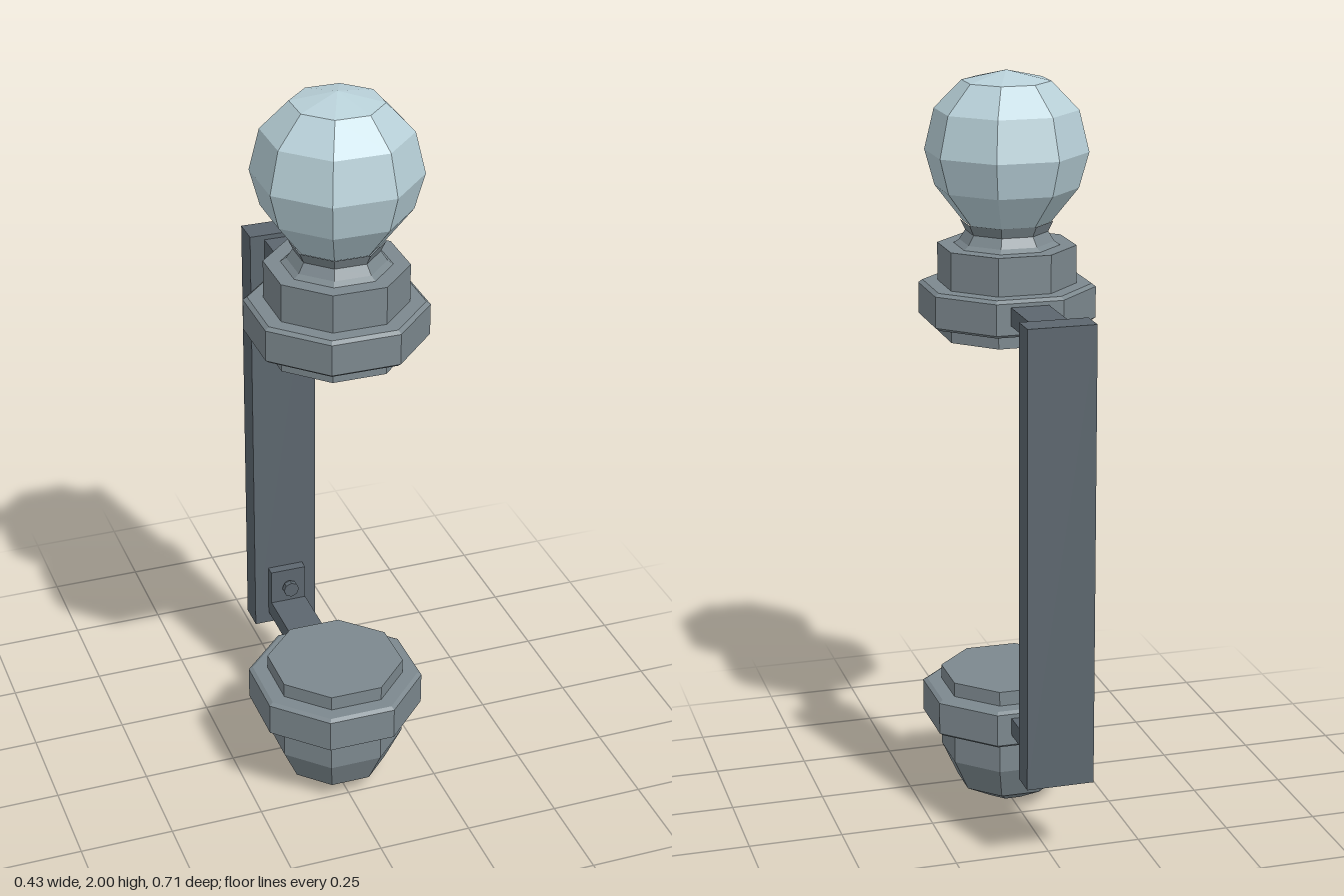
import * as THREE from 'three';

const mat = (name, color) => {
  const m = new THREE.MeshStandardMaterial({ color });
  m.name = name;
  m.flatShading = true;
  return m;
};

export function createModel() {
  const model = new THREE.Group();
  model.name = 'wallLamp';
  const glass = mat('paleBlueGlass', 0xb8d0d8);
  const metal = mat('greyMetal', 0x7c888e);
  const dark = mat('darkMetal', 0x5c666e);
  const axisZ = 0.137;

  // Eight-sided turned part; radii are measured to the flats, listed bottom to top
  const turned = (name, profile, material) => {
    const k = 1 / Math.cos(Math.PI / 8);
    const pts = profile.map(([r, y]) => new THREE.Vector2(r * k, y));
    const mesh = new THREE.Mesh(new THREE.LatheGeometry(pts, 8, Math.PI / 8), material);
    mesh.name = name;
    mesh.position.z = axisZ;
    model.add(mesh);
  };

  // Box given by half width and its y and z ranges
  const box = (name, hx, y0, y1, z0, z1, material) => {
    const mesh = new THREE.Mesh(new THREE.BoxGeometry(hx * 2, y1 - y0, z1 - z0), material);
    mesh.name = name;
    mesh.position.set(0, (y0 + y1) / 2, (z0 + z1) / 2);
    model.add(mesh);
  };

  // Globe and its holder
  turned('globe', [[0, 1.6], [0.107, 1.61], [0.173, 1.7], [0.197, 1.793],
    [0.173, 1.9], [0.107, 1.973], [0, 2]], glass);
  turned('globeNeck', [[0.135, 1.545], [0.115, 1.56], [0.1, 1.585], [0.112, 1.612]], metal);
  turned('upperCollar', [[0, 1.313], [0.168, 1.313], [0.168, 1.352], [0.205, 1.352],
    [0.215, 1.36], [0.215, 1.442], [0.205, 1.45], [0.168, 1.45], [0.168, 1.55], [0, 1.55]], metal);

  // Lower collar with rounded bowl beneath
  turned('lowerBowl', [[0, 0], [0.05, 0.004], [0.128, 0.05], [0.168, 0.14], [0.168, 0.235]], metal);
  turned('lowerCollar', [[0.16, 0.23], [0.205, 0.23], [0.215, 0.238], [0.215, 0.325],
    [0.205, 0.332], [0.168, 0.332], [0.168, 0.371], [0, 0.371]], metal);

  // Wall bar
  box('wallBar', 0.089, 0.232, 1.445, -0.355, -0.28, dark);

  // Bracket arms with bolted tabs, mirrored between top and bottom
  for (const [side, y, dir] of [['upper', 1.432, -1], ['lower', 0.265, 1]]) {
    const span = (a, b) => [y + dir * a, y + dir * b].sort((p, q) => p - q);
    box(side + 'Arm', 0.05, ...span(0, 0.048), -0.281, 0, dark);
    box(side + 'Tab', 0.05, ...span(0.046, 0.148), -0.281, -0.253, dark);
    for (const [part, r, z, len] of [['BoltShank', 0.014, -0.245, 0.02], ['BoltHead', 0.022, -0.233, 0.016]]) {
      const bolt = new THREE.Mesh(new THREE.CylinderGeometry(r, r, len, 8), dark);
      bolt.name = side + part;
      bolt.rotation.x = Math.PI / 2;
      bolt.position.set(0, y + dir * 0.098 + 0.018 * (dir < 0 ? 1 : 0), z);
      model.add(bolt);
    }
  }
  return model;
}
